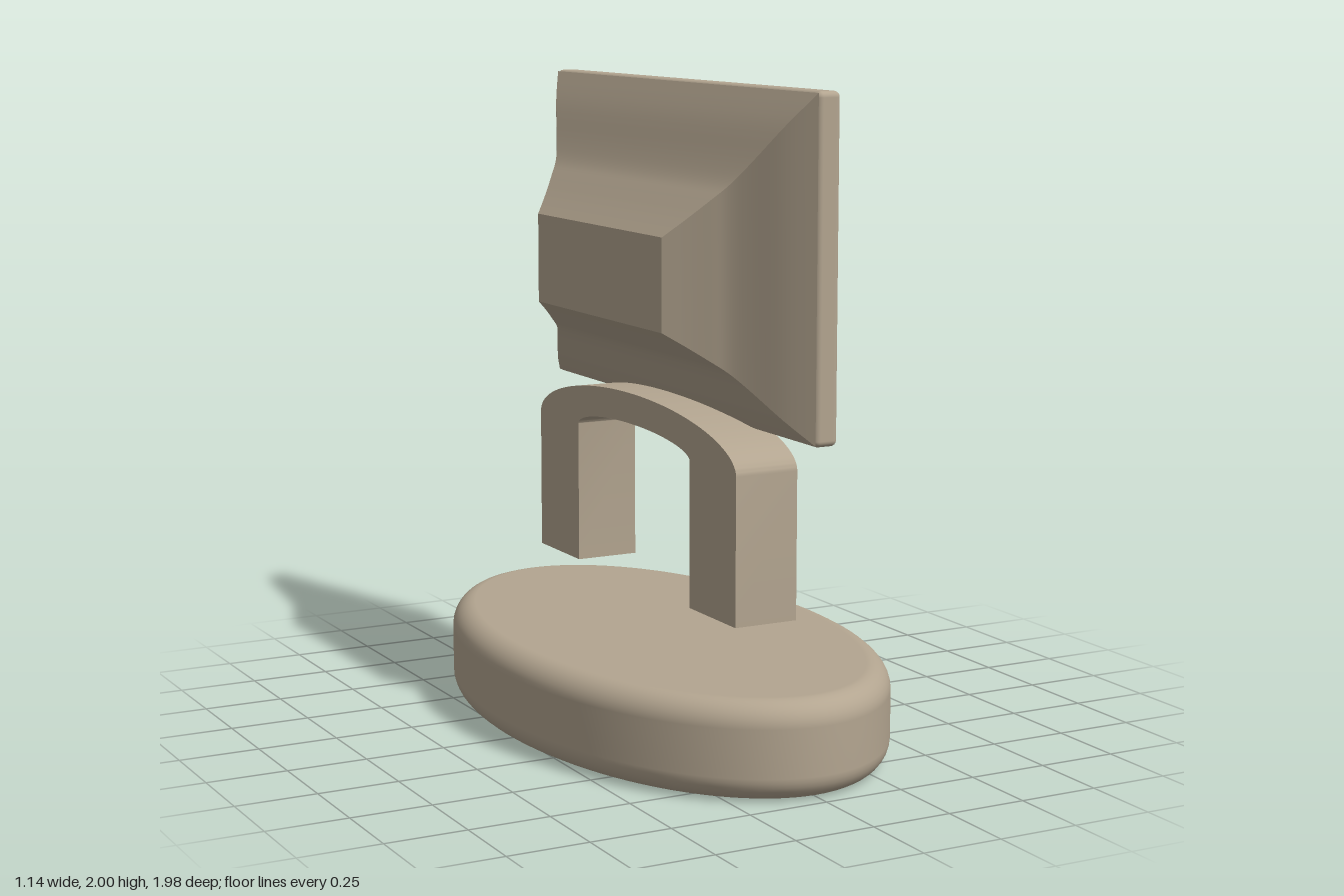
import * as THREE from 'three';
import { mergeVertices, toCreasedNormals } from 'three/addons/utils/BufferGeometryUtils.js';
import { RoundedBoxGeometry } from 'three/addons/geometries/RoundedBoxGeometry.js';

const material = new THREE.MeshStandardMaterial({ color: 0xb3a590 });

function part(name, geometry) {
  const mesh = new THREE.Mesh(geometry, material);
  mesh.name = name;
  return mesh;
}

// Oval disc with an evenly rounded rim: a lathe stretched along z
function baseGeometry() {
  const rx = 0.57, rz = 0.99, height = 0.295, round = 0.075, steps = 8;
  const inner = rx - round;
  const profile = [new THREE.Vector2(0, 0)];
  for (const [centreY, start] of [[round, -Math.PI / 2], [height - round, 0]]) {
    for (let i = 0; i <= steps; i++) {
      const a = start + (i / steps) * Math.PI / 2;
      profile.push(new THREE.Vector2(inner + round * Math.cos(a), centreY + round * Math.sin(a)));
    }
  }
  profile.push(new THREE.Vector2(0, height));

  let geometry = new THREE.LatheGeometry(profile, 96);
  const pos = geometry.attributes.position;
  for (let i = 0; i < pos.count; i++) {
    const r = Math.hypot(pos.getX(i), pos.getZ(i));
    if (r < 1e-6) continue;
    const stretched = r >= inner - 1e-6 ? r + rz - rx : r * (rz - round) / inner;
    pos.setZ(i, pos.getZ(i) / r * stretched);
  }
  geometry.deleteAttribute('normal');
  geometry.deleteAttribute('uv');
  geometry = mergeVertices(geometry, 1e-5);
  geometry.computeVertexNormals();
  return geometry;
}

// Two legs joined by a shallow elliptical arch
function archGeometry() {
  const foot = 0.443, spring = 0.89, outer = 0.655, inner = 0.375;
  const shape = new THREE.Shape();
  shape.moveTo(inner, foot);
  shape.lineTo(outer, foot);
  shape.lineTo(outer, spring);
  shape.absellipse(0, spring, outer, 0.15, 0, Math.PI, false);
  shape.lineTo(-outer, foot);
  shape.lineTo(-inner, foot);
  shape.lineTo(-inner, spring);
  shape.absellipse(0, spring, inner, 0.055, Math.PI, 0, true);
  const geometry = new THREE.ExtrudeGeometry(shape, { depth: 0.205, bevelEnabled: false, curveSegments: 40 });
  geometry.rotateY(Math.PI / 2);
  geometry.translate(-0.105, 0, 0);
  return toCreasedNormals(geometry, 0.6);
}

// Four curved walls tapering from the screen frame to the rear panel
function taperGeometry() {
  const curve = new THREE.SplineCurve([
    [0.052, 1], [0, 0.78], [-0.05, 0.52], [-0.084, 0.37], [-0.12, 0.265], [-0.17, 0.13], [-0.222, 0],
  ].map(([x, f]) => new THREE.Vector2(x, f)));
  const rings = curve.getPoints(24);
  const corners = [[1, -1], [1, 1], [-1, 1], [-1, -1]];
  const { lerp } = THREE.MathUtils;
  const positions = [], index = [];
  corners.forEach((corner, side) => {
    const first = positions.length / 3;
    rings.forEach(({ x, y: f }, i) => {
      for (const [sy, sz] of [corner, corners[(side + 1) % 4]]) {
        positions.push(x, lerp(1.427, 1.495, f) + sy * lerp(0.14, 0.5, f), sz * lerp(0.418, 0.835, f));
      }
      if (i === 0) return;
      const a = first + 2 * (i - 1);
      index.push(a, a + 2, a + 1, a + 1, a + 2, a + 3);
    });
  });
  const geometry = new THREE.BufferGeometry();
  geometry.setAttribute('position', new THREE.Float32BufferAttribute(positions, 3));
  geometry.setIndex(index);
  geometry.computeVertexNormals();
  return geometry;
}

export function createModel() {
  const model = new THREE.Group();
  model.name = 'monitor';

  model.add(part('base', baseGeometry()));
  model.add(part('archStand', archGeometry()));

  const screen = new THREE.Group();
  screen.name = 'screen';
  const frame = part('screenFrame', new RoundedBoxGeometry(0.077, 1.01, 1.68, 4, 0.018));
  frame.position.set(0.0865, 1.495, 0);
  const rear = part('rearPanel', new THREE.PlaneGeometry(0.836, 0.28));
  rear.rotation.y = -Math.PI / 2;
  rear.position.set(-0.222, 1.427, 0);
  screen.add(frame, part('rearHousing', taperGeometry()), rear);
  model.add(screen);

  return model;
}
